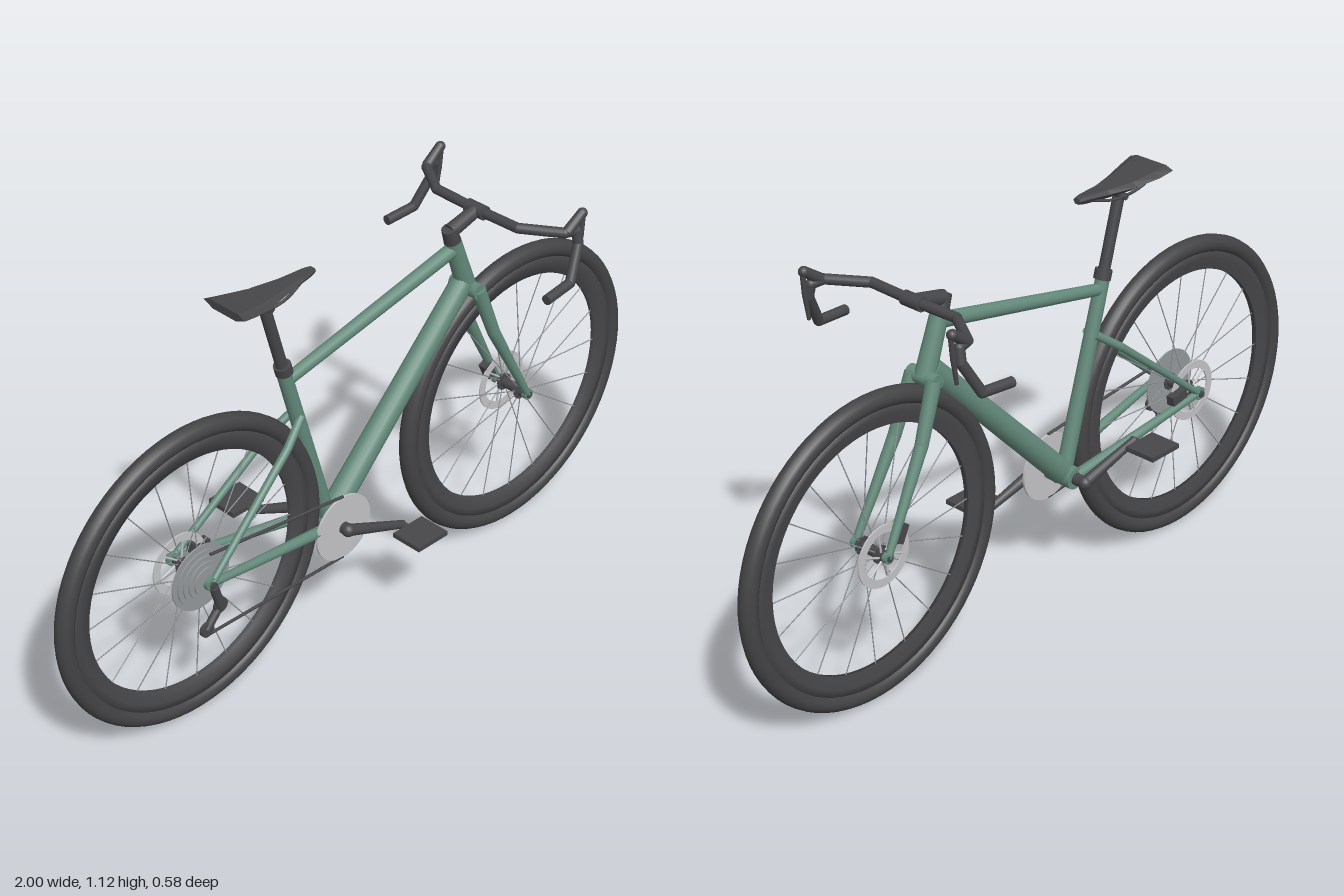
import * as THREE from 'three';

const paint = (name, color) => {
  const m = new THREE.MeshStandardMaterial({ color });
  m.name = name;
  return m;
};
const V = (p) => new THREE.Vector3(...p);

export function createModel() {
  const bike = new THREE.Group();
  bike.name = 'bicycle';
  const green = paint('sage green', 0x648a7b);
  const rubber = paint('tyre rubber', 0x444446);
  const black = paint('matt black', 0x47474a);
  const silver = paint('silver', 0xc4c4c6);
  const steel = paint('steel grey', 0x94989b);

  const add = (name, geo, mat, parent = bike) => {
    const m = new THREE.Mesh(geo, mat);
    m.name = name;
    parent.add(m);
    return m;
  };
  // straight, optionally tapered tube between two points
  const rod = (name, a, b, r1, mat, r2 = r1, parent = bike, sides = 16) => {
    const p = V(a), d = V(b).sub(p);
    const m = add(name, new THREE.CylinderGeometry(r2, r1, d.length(), sides), mat, parent);
    m.position.copy(p).addScaledVector(d, 0.5);
    m.quaternion.setFromUnitVectors(new THREE.Vector3(0, 1, 0), d.normalize());
    return m;
  };
  // disc whose axis runs along z
  const disc = (name, x, y, z, r, t, mat, r2 = r, parent = bike) =>
    rod(name, [x, y, z - t / 2], [x, y, z + t / 2], r, mat, r2, parent, 40);
  const ball = (name, p, r, mat) => add(name, new THREE.SphereGeometry(r, 14, 10), mat).position.set(...p);
  const block = (name, p, size, mat, tilt = 0) => {
    const m = add(name, new THREE.BoxGeometry(...size), mat);
    m.position.set(...p);
    m.rotation.z = tilt;
  };

  const axleY = 0.425, rearX = -0.577, frontX = 0.577;

  // ---- wheels: tyre, deep rim, hub, spokes, brake rotor
  const rimProfile = [[0.329, -0.007], [0.36, -0.014], [0.385, -0.014], [0.385, 0.014], [0.36, 0.014], [0.329, 0.007], [0.329, -0.007]]
    .map(([x, y]) => new THREE.Vector2(x, y));
  const makeWheel = (name, x, rotorZ) => {
    const w = new THREE.Group();
    w.name = name;
    w.position.set(x, axleY, 0);
    bike.add(w);
    add('tyre', new THREE.TorusGeometry(0.399, 0.0245, 16, 72), rubber, w);
    add('rim', new THREE.LatheGeometry(rimProfile, 72).rotateX(Math.PI / 2), black, w);
    disc('hub', 0, 0, 0, 0.014, 0.09, black, 0.014, w);
    for (const s of [-1, 1]) disc('hubFlange', 0, 0, s * 0.03, 0.024, 0.006, black, 0.024, w);
    for (let i = 0; i < 20; i++) {
      const a = (i / 20) * Math.PI * 2, c = Math.cos(a), s = Math.sin(a);
      rod('spoke', [c * 0.02, s * 0.02, i % 2 ? 0.03 : -0.03], [c * 0.335, s * 0.335, 0], 0.0016, steel, 0.0016, w, 5);
    }
    const ring = new THREE.Shape().absarc(0, 0, 0.085, 0, Math.PI * 2);
    ring.holes.push(new THREE.Path().absarc(0, 0, 0.063, 0, Math.PI * 2, true));
    add('brakeRotor', new THREE.ExtrudeGeometry(ring, { depth: 0.004, bevelEnabled: false, curveSegments: 32 }), silver, w)
      .position.z = rotorZ - 0.002;
    for (let i = 0; i < 6; i++) {
      const a = (i / 6) * Math.PI * 2;
      rod('rotorArm', [Math.cos(a) * 0.015, Math.sin(a) * 0.015, rotorZ],
        [Math.cos(a + 0.3) * 0.066, Math.sin(a + 0.3) * 0.066, rotorZ], 0.003, silver, 0.003, w, 6);
    }
  };
  makeWheel('rearWheel', rearX, -0.045);
  makeWheel('frontWheel', frontX, -0.04);

  // ---- frame
  const bb = [-0.115, 0.345, 0];
  const seatTop = [-0.262, 0.865, 0];
  rod('seatTube', bb, seatTop, 0.022, green, 0.019);
  rod('topTube', [-0.25, 0.828, 0], [0.335, 0.955, 0], 0.016, green, 0.02);
  rod('downTube', [-0.105, 0.355, 0], [0.368, 0.842, 0], 0.034, green, 0.03);
  rod('headTube', [0.383, 0.825, 0], [0.328, 0.98, 0], 0.027, green, 0.023);
  disc('bottomBracketShell', ...bb, 0.03, 0.085, green);
  for (const s of [-1, 1]) {
    rod('chainStay', [-0.125, 0.35, s * 0.038], [rearX, axleY, s * 0.07], 0.016, green, 0.01);
    rod('seatStay', [-0.218, 0.715, s * 0.016], [-0.29, 0.662, s * 0.04], 0.011, green);
    rod('seatStay', [-0.285, 0.666, s * 0.039], [rearX, axleY, s * 0.072], 0.011, green, 0.009);
    disc('rearDropout', rearX, axleY, s * 0.07, 0.018, 0.014, green);
    // fork blade in two tapering sections
    const knee = [0.445, 0.675, s * 0.045];
    rod('forkBlade', [0.39, 0.825, s * 0.036], knee, 0.02, green, 0.017);
    ball('forkBladeJoint', knee, 0.017, green);
    rod('forkBlade', knee, [frontX, axleY, s * 0.056], 0.017, green, 0.01);
    disc('frontDropout', frontX, axleY, s * 0.055, 0.015, 0.014, green);
  }
  rod('forkCrown', [0.386, 0.822, -0.046], [0.386, 0.822, 0.046], 0.021, green);
  disc('rearAxle', rearX, axleY, 0, 0.009, 0.17, black);
  disc('frontAxle', frontX, axleY, 0, 0.009, 0.13, black);

  // ---- brake calipers beside the rotors
  block('frontCaliper', [0.533, 0.475, -0.052], [0.026, 0.05, 0.024], black, 0.45);
  block('rearCaliper', [-0.505, 0.437, -0.055], [0.055, 0.028, 0.024], black, -0.17);

  // ---- seat post and saddle
  rod('seatCollar', [-0.257, 0.855, 0], [-0.264, 0.88, 0], 0.023, black);
  rod('seatPost', [-0.26, 0.86, 0], [-0.316, 1.062, 0], 0.0155, black);
  for (const s of [-1, 1]) {
    const rail = new THREE.CatmullRomCurve3([[-0.42, 1.1, 0.03], [-0.36, 1.076, 0.024], [-0.27, 1.076, 0.022], [-0.19, 1.096, 0.006]]
      .map(([x, y, z]) => V([x, y, s * z])));
    add('saddleRail', new THREE.TubeGeometry(rail, 16, 0.004, 8), black);
  }
  rod('saddleClamp', [-0.316, 1.07, -0.026], [-0.316, 1.07, 0.026], 0.009, black);
  // stations: x, half width, top, bottom
  const stations = [[-0.443, 0.071, 1.123, 1.101], [-0.4, 0.066, 1.117, 1.09], [-0.33, 0.05, 1.109, 1.083],
    [-0.25, 0.03, 1.108, 1.085], [-0.18, 0.016, 1.111, 1.09], [-0.158, 0.011, 1.109, 1.094]];
  const section = [[1, 0.6], [0.68, 1], [-0.68, 1], [-1, 0.6], [-0.55, 0], [0.55, 0]];
  const pos = [], idx = [], n = section.length;
  for (const [x, w, top, low] of stations)
    for (const [z, h] of section) pos.push(x, low + (top - low) * h, z * w);
  for (let i = 0; i < stations.length - 1; i++)
    for (let j = 0; j < n; j++) {
      const a = i * n + j, b = i * n + (j + 1) % n;
      idx.push(a, a + n, b, b, a + n, b + n);
    }
  const last = (stations.length - 1) * n;
  for (let j = 1; j < n - 1; j++) idx.push(0, j, j + 1, last, last + j + 1, last + j);
  let saddle = new THREE.BufferGeometry();
  saddle.setAttribute('position', new THREE.Float32BufferAttribute(pos, 3));
  saddle.setIndex(idx);
  saddle = saddle.toNonIndexed();
  saddle.computeVertexNormals();
  const saddleMat = black.clone();
  saddleMat.name = 'saddle black';
  saddleMat.side = THREE.DoubleSide;
  add('saddle', saddle, saddleMat);

  // ---- stem and drop handlebar
  rod('headsetSpacer', [0.33, 0.975, 0], [0.314, 1.02, 0], 0.023, black, 0.02);
  rod('stem', [0.318, 1.01, 0], [0.415, 1.035, 0], 0.02, black, 0.018);
  rod('barClamp', [0.415, 1.035, -0.03], [0.415, 1.035, 0.03], 0.019, black);
  for (const s of [-1, 1]) {
    const at = (p) => [p[0], p[1], p[2] * s];
    const path = [[0.415, 1.035, 0], [0.415, 1.038, 0.14], [0.48, 1.038, 0.238], [0.515, 1.035, 0.245],
      [0.518, 1.0, 0.252], [0.47, 0.912, 0.272], [0.375, 0.905, 0.278]].map(at);
    for (let i = 0; i < path.length - 1; i++) {
      rod('handlebar', path[i], path[i + 1], 0.0135, black);
      if (i) ball('handlebarBend', path[i], 0.0135, black);
    }
    rod('brakeHood', at([0.485, 1.038, 0.241]), at([0.538, 1.077, 0.244]), 0.015, black, 0.013);
    ball('brakeHoodTip', at([0.537, 1.075, 0.244]), 0.0135, black);
    rod('brakeLever', at([0.54, 1.065, 0.244]), at([0.535, 1.01, 0.245]), 0.007, black);
    rod('brakeLever', at([0.535, 1.012, 0.245]), at([0.525, 0.945, 0.245]), 0.007, black, 0.005);
  }

  // ---- cranks and pedals
  disc('crankSpindle', ...bb, 0.016, 0.16, black);
  disc('chainring', bb[0], bb[1], 0.055, 0.094, 0.006, silver);
  for (const [s, x, y] of [[1, 0.065, 0.28], [-1, -0.287, 0.41]]) {
    rod('crankArm', [bb[0], bb[1], s * 0.074], [x, y, s * 0.094], 0.016, black, 0.011);
    ball('crankBoss', [bb[0], bb[1], s * 0.074], 0.018, black);
    disc('pedalAxle', x, y, s * 0.11, 0.007, 0.05, black);
    block('pedal', [x, y, s * 0.155], [0.105, 0.013, 0.092], black);
  }

  // ---- cassette, derailleur and chain
  for (let i = 0; i < 5; i++)
    disc('cassetteSprocket', rearX, axleY, 0.032 + i * 0.006, 0.092 - i * 0.013, 0.004, steel);
  rod('derailleurHanger', [rearX, axleY - 0.005, 0.08], [-0.555, 0.345, 0.078], 0.012, black);
  rod('derailleurCage', [-0.553, 0.35, 0.074], [-0.6, 0.298, 0.074], 0.011, black);
  disc('jockeyWheel', -0.553, 0.35, 0.074, 0.02, 0.01, black);
  disc('jockeyWheel', -0.6, 0.298, 0.074, 0.02, 0.01, black);
  rod('chainTop', [-0.555, 0.488, 0.045], [-0.115, 0.44, 0.055], 0.004, black, 0.004, bike, 8);
  rod('chainBottom', [-0.602, 0.28, 0.074], [-0.115, 0.252, 0.055], 0.004, black, 0.004, bike, 8);
  return bike;
}
